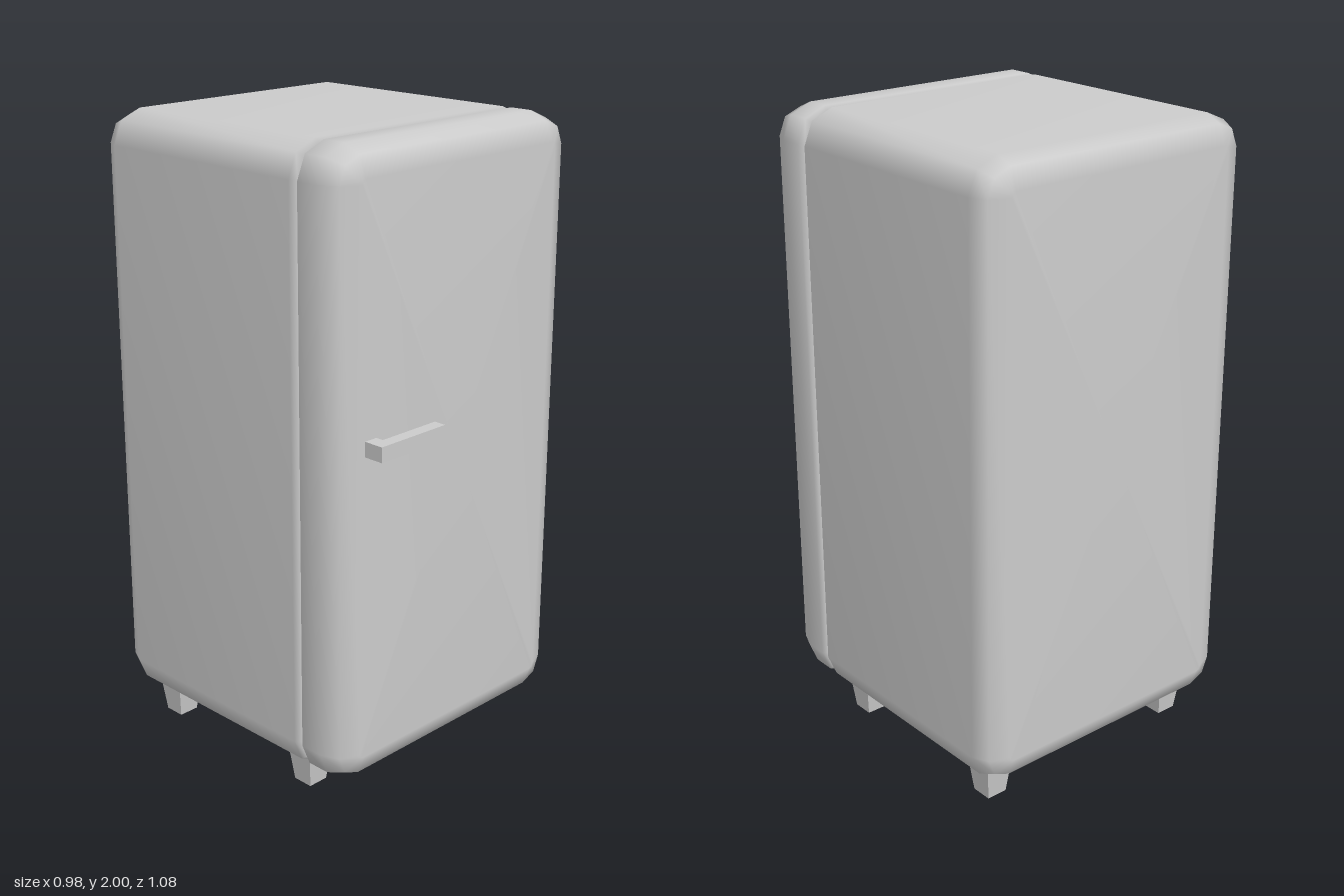
import * as THREE from 'three';

const material = new THREE.MeshStandardMaterial({ color: 0xcccccc });

// Rounded rectangle in the xy plane, counter-clockwise, shrunk by inset
function ring(z, inset) {
  const r = 0.1, hw = 0.49, y0 = 0.105, y1 = 2;
  const radius = r - inset, points = [];
  const corners = [[hw - r, y1 - r], [r - hw, y1 - r], [r - hw, y0 + r], [hw - r, y0 + r]];
  corners.forEach(([cx, cy], k) => {
    for (let s = 0; s <= 2; s++) {
      const a = (k + s / 2) * Math.PI / 2;
      points.push([cx + radius * Math.cos(a), cy + radius * Math.sin(a), z]);
    }
  });
  return points;
}

// Closed smooth shell through [z, inset] layers, listed back to front
function shell(layers) {
  const rings = layers.map(([z, inset]) => ring(z, inset));
  const n = rings[0].length, last = (rings.length - 1) * n;
  const positions = rings.flat(2), index = [];
  for (let l = 0; l < rings.length - 1; l++) {
    for (let i = 0; i < n; i++) {
      const a = l * n + i, b = l * n + (i + 1) % n;
      index.push(a, b, b + n, a, b + n, a + n);
    }
  }
  // End caps fan out from a centre point
  const back = rings.length * n, front = back + 1;
  positions.push(0, 1.0525, layers[0][0], 0, 1.0525, layers[layers.length - 1][0]);
  for (let i = 0; i < n; i++) {
    const j = (i + 1) % n;
    index.push(back, j, i, front, last + i, last + j);
  }
  const geometry = new THREE.BufferGeometry();
  geometry.setAttribute('position', new THREE.Float32BufferAttribute(positions, 3));
  geometry.setIndex(index);
  geometry.computeVertexNormals();
  return geometry;
}

export function createModel() {
  const group = new THREE.Group();
  const add = (name, geometry, x = 0, y = 0, z = 0) => {
    const mesh = new THREE.Mesh(geometry, material);
    mesh.name = name;
    mesh.position.set(x, y, z);
    group.add(mesh);
  };

  // Cabinet and door, separated by a fine bevelled seam
  add('cabinet', shell([[-0.54, 0.085], [-0.515, 0.024], [-0.465, 0], [0.28, 0], [0.298, 0.017]]));
  add('door', shell([[0.302, 0.017], [0.314, 0], [0.389, 0], [0.447, 0.024], [0.471, 0.085]]));

  // L-shaped handle, drawn in plan (x, -z) and extruded upward
  const plan = new THREE.Shape([
    [-0.39, -0.535], [-0.13, -0.535], [-0.13, -0.496],
    [-0.345, -0.496], [-0.345, -0.46], [-0.39, -0.46],
  ].map(([x, y]) => new THREE.Vector2(x, y)));
  const handle = new THREE.ExtrudeGeometry(plan, { depth: 0.046, bevelEnabled: false });
  handle.rotateX(-Math.PI / 2);
  add('handle', handle, 0, 1.14, 0);

  // Four square feet tapering downward
  const foot = new THREE.CylinderGeometry(0.048 * Math.SQRT2, 0.034 * Math.SQRT2, 0.12, 4, 1)
    .rotateY(Math.PI / 4).toNonIndexed();
  foot.computeVertexNormals();
  for (const [side, x] of [['left', 0.367], ['right', -0.367]]) {
    add(side + 'FrontFoot', foot, x, 0.06, 0.22);
    add(side + 'BackFoot', foot, x, 0.06, -0.4);
  }
  return group;
}
